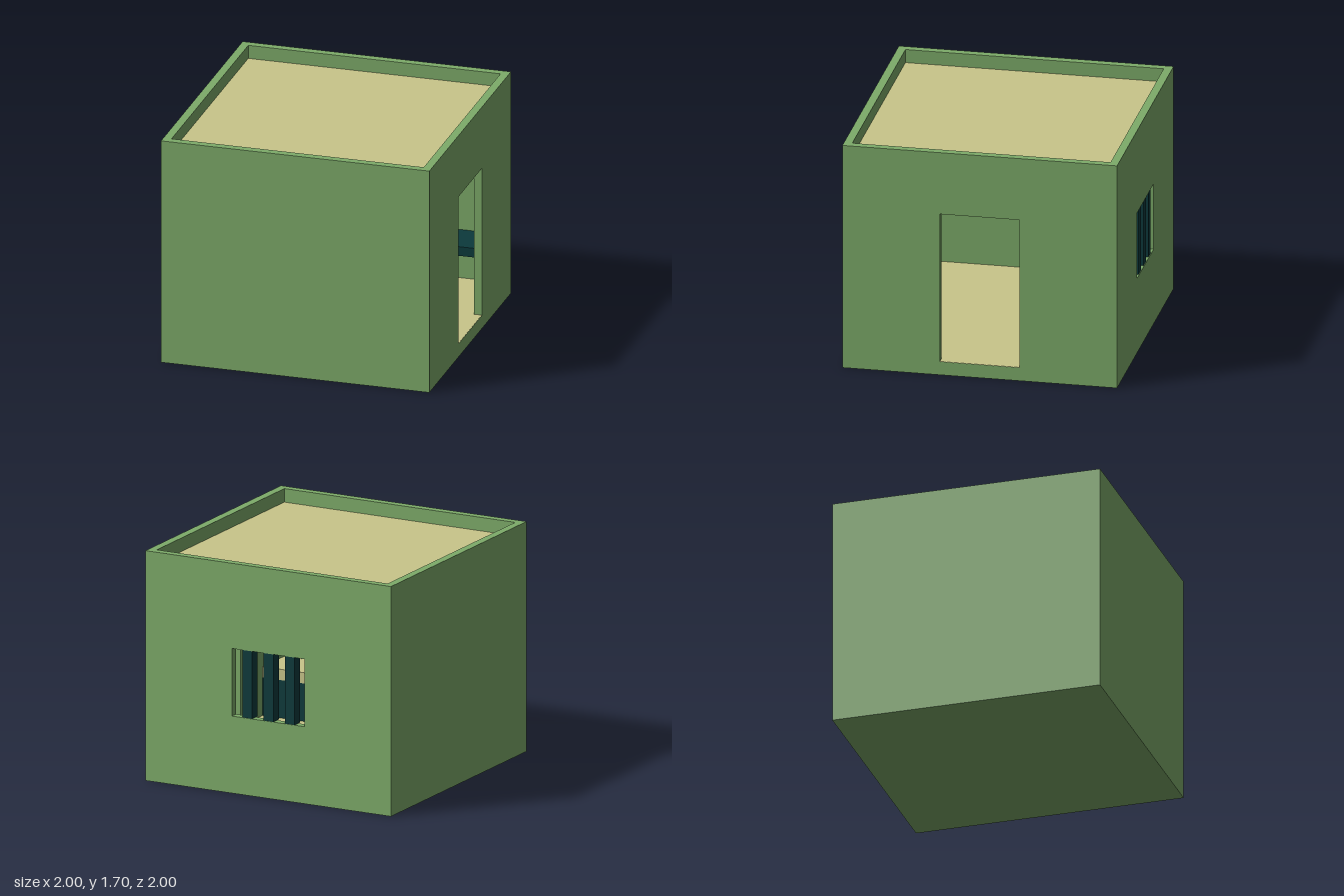
import * as THREE from 'three';

const green = new THREE.MeshStandardMaterial({ color: 0x7dab69 });
const tan = new THREE.MeshStandardMaterial({ color: 0xc9c68a });
const dark = new THREE.MeshStandardMaterial({ color: 0x0c3a3c });

const T = 0.06;      // wall thickness
const H = 1.7;       // wall height
const FLOOR = 0.1;   // floor level
const IN = 1 - T;    // inner face of the walls

// Box given by its lower and upper corners
function box(name, material, [x0, y0, z0], [x1, y1, z1]) {
  const mesh = new THREE.Mesh(new THREE.BoxGeometry(x1 - x0, y1 - y0, z1 - z0), material);
  mesh.position.set((x0 + x1) / 2, (y0 + y1) / 2, (z0 + z1) / 2);
  mesh.name = name;
  return mesh;
}

// Upright wall panel, optionally with a rectangular opening, extruded by the wall thickness
function wall(name, halfWidth, opening) {
  const rect = (path, w, y0, y1) =>
    path.moveTo(-w, y0).lineTo(w, y0).lineTo(w, y1).lineTo(-w, y1).closePath();
  const shape = rect(new THREE.Shape(), halfWidth, 0, H);
  if (opening) shape.holes.push(rect(new THREE.Path(), ...opening));
  const mesh = new THREE.Mesh(
    new THREE.ExtrudeGeometry(shape, { depth: T, bevelEnabled: false }), green);
  mesh.name = name;
  return mesh;
}

export function createModel() {
  const model = new THREE.Group();
  model.name = 'cell';

  // Walls: plain front and right, barred window at the back, doorway on the left
  const windowY = [0.57, 1.07];
  const front = wall('frontWall', 1);
  front.position.z = IN;
  const back = wall('backWall', 1, [0.295, ...windowY]);
  back.position.z = -1;
  const left = wall('doorWall', IN, [0.29, FLOOR, 1.23]);
  left.rotation.y = Math.PI / 2;
  left.position.x = IN;
  const right = wall('rightWall', IN);
  right.rotation.y = Math.PI / 2;
  right.position.x = -1;
  model.add(front, back, left, right);

  // Base slab, floor, doorstep and recessed roof
  model.add(
    box('base', green, [-IN, 0, -IN], [IN, FLOOR - 0.01, IN]),
    box('floor', tan, [-IN, FLOOR - 0.01, -IN], [IN, FLOOR, IN]),
    box('doorstep', tan, [IN, FLOOR - 0.002, -0.29], [0.998, FLOOR + 0.002, 0.29]),
    box('roof', tan, [-IN, 1.59, -IN], [IN, 1.6, IN]),
  );

  // Window bars
  for (const x of [-0.173, 0, 0.173]) {
    model.add(box('windowBar', dark,
      [x - 0.04, windowY[0], -0.995], [x + 0.04, windowY[1], -0.915]));
  }

  // Bed along the front wall and a shelf in the back corner
  model.add(
    box('bedFrame', dark, [-0.2, FLOOR, 0.62], [IN, 0.38, IN]),
    box('mattress', tan, [-0.2, 0.38, 0.62], [IN, 0.46, IN]),
    box('shelf', dark, [0.63, 0.4, -IN], [IN, 0.47, -0.62]),
  );
  return model;
}
